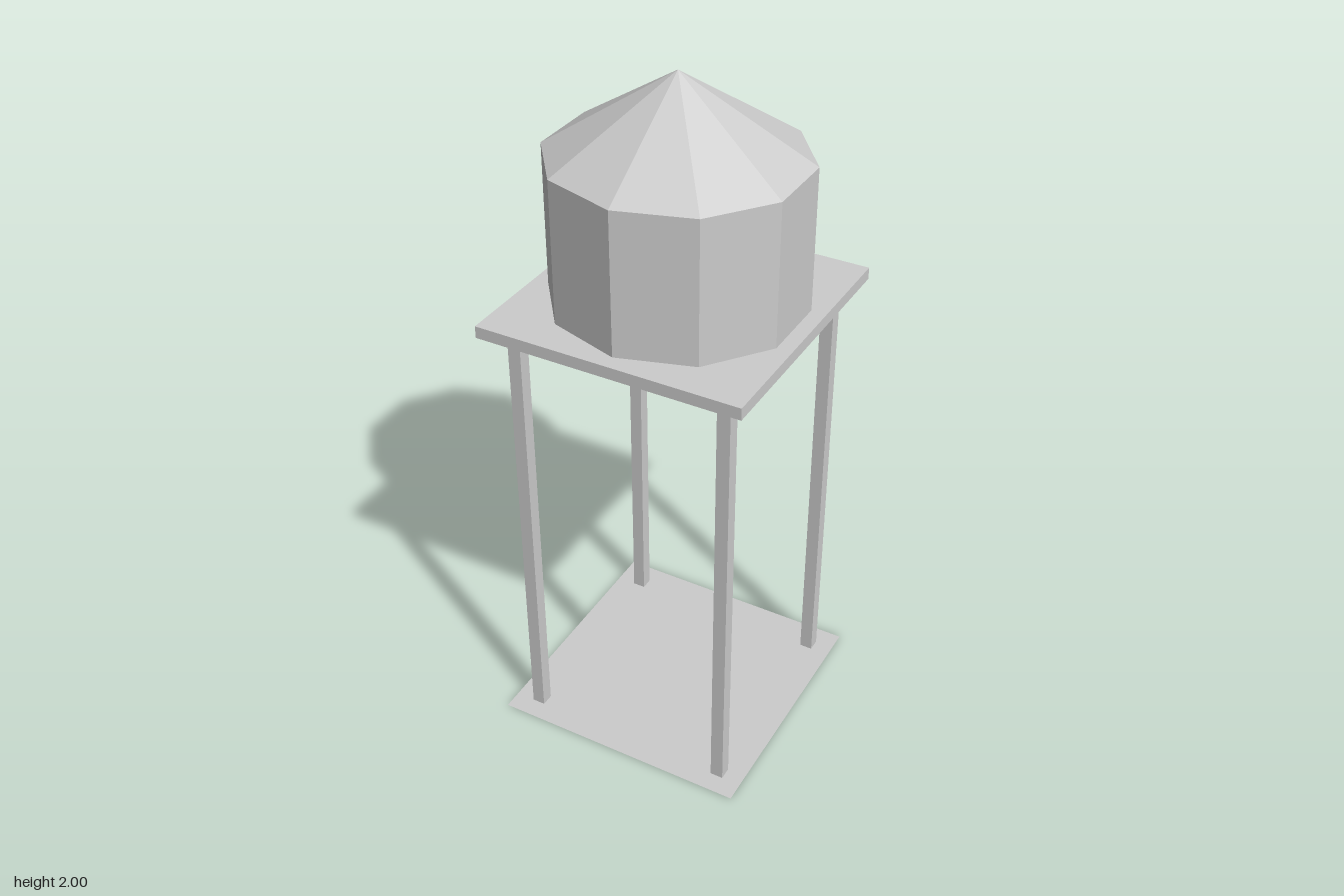
import * as THREE from 'three';

export function createModel() {
  const model = new THREE.Group();
  const material = new THREE.MeshStandardMaterial({ color: 0xcccccc, flatShading: true });
  const thin = new THREE.MeshStandardMaterial({ color: 0xcccccc, flatShading: true, side: THREE.DoubleSide });

  const add = (name, geometry, x, y, z, mat = material) => {
    const mesh = new THREE.Mesh(geometry, mat);
    mesh.name = name;
    mesh.position.set(x, y, z);
    model.add(mesh);
    return mesh;
  };

  const width = 0.768, deckBottom = 1.33, deckTop = 1.365, eaves = 1.775, peak = 2;
  const sides = 10, radius = 0.34, stretch = 1.051; // tank is slightly wider along x

  // Paper-thin ground sheet
  add('groundSheet', new THREE.PlaneGeometry(width, width).rotateX(-Math.PI / 2), 0, 0, 0, thin);

  // Four square legs
  const leg = new THREE.BoxGeometry(0.038, deckBottom, 0.038);
  for (const x of [-1, 1]) {
    for (const z of [-1, 1]) {
      add(`${z > 0 ? 'front' : 'back'}${x > 0 ? 'Left' : 'Right'}Leg`, leg, x * 0.308, deckBottom / 2, z * 0.308);
    }
  }

  // Platform
  add('platform', new THREE.BoxGeometry(width, deckTop - deckBottom, width), 0, (deckTop + deckBottom) / 2, 0);

  // Ten-sided tank and its pointed roof
  const tank = new THREE.CylinderGeometry(radius, radius, eaves - deckTop, sides).scale(stretch, 1, 1);
  add('tank', tank, 0, (eaves + deckTop) / 2, 0);
  const roof = new THREE.ConeGeometry(radius, peak - eaves, sides, 1, true).scale(stretch, 1, 1);
  add('roof', roof, 0, (peak + eaves) / 2, 0);

  return model;
}
